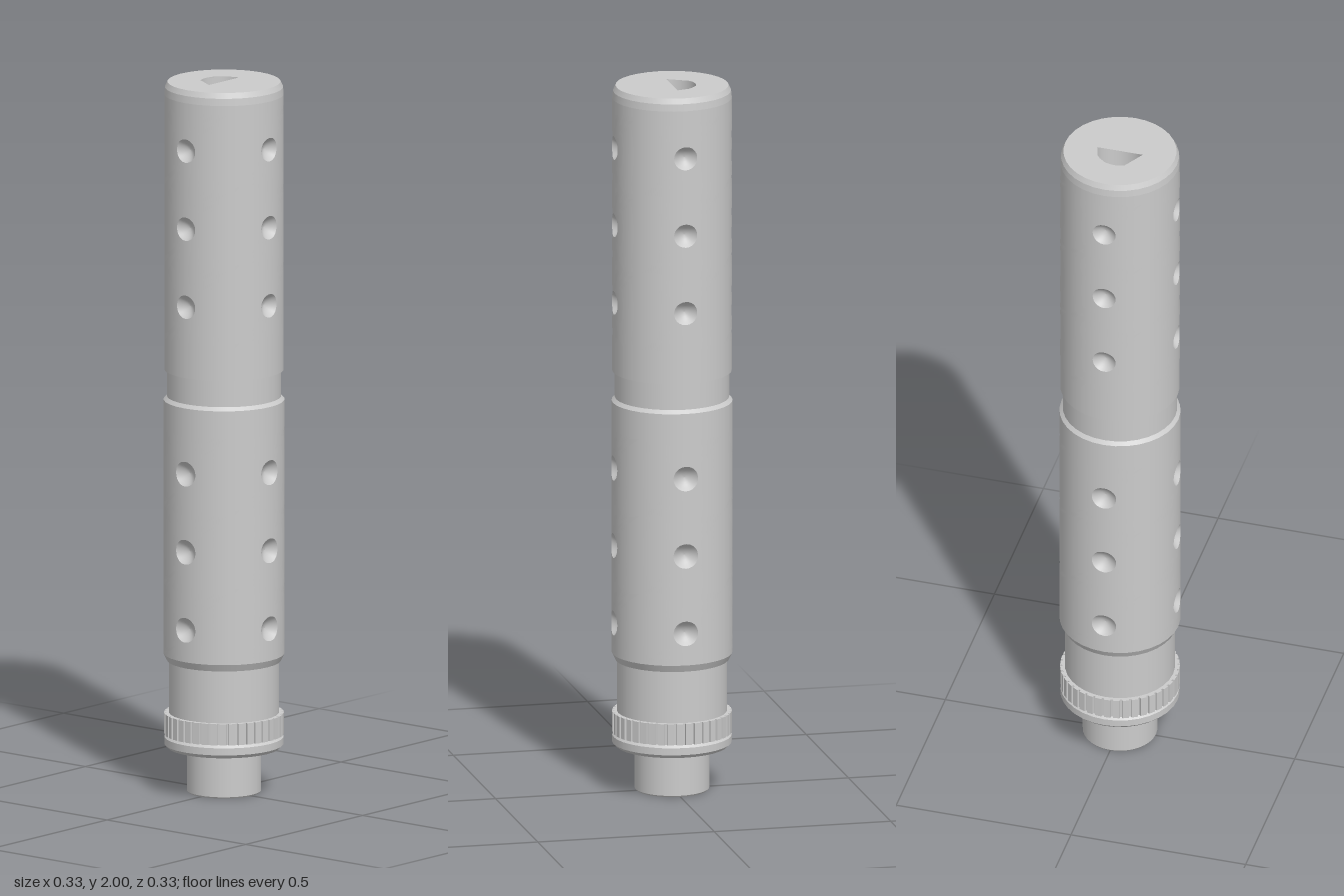
import * as THREE from 'three';
import { mergeGeometries } from 'three/addons/utils/BufferGeometryUtils.js';

const SEG = 32;
const grey = new THREE.MeshStandardMaterial({ color: 0xcccccc, side: THREE.DoubleSide });

// Turned part with a sharp edge at every profile point
function turned(points) {
  const bands = [];
  for (let i = 0; i < points.length - 1; i++) {
    const pair = [points[i], points[i + 1]].map(([r, y]) => new THREE.Vector2(r, y));
    bands.push(new THREE.LatheGeometry(pair, SEG));
  }
  return mergeGeometries(bands);
}

// Closed rings of points joined into a skin
function skin(rings) {
  const n = rings[0].length, index = [];
  for (let i = 0; i < rings.length - 1; i++) {
    for (let j = 0; j < n; j++) {
      const k = (j + 1) % n, a = i * n + j, b = i * n + k;
      index.push(a, b, b + n, a, b + n, a + n);
    }
  }
  const g = new THREE.BufferGeometry().setFromPoints(rings.flat());
  g.setIndex(index);
  g.computeVertexNormals();
  return g;
}

// A quarter of the sleeve between y0 and y1, with one round dimple in its middle
function dimpledCell(angle, y0, y1, yc, R, holeR, depth) {
  const half = Math.PI / 4, edge = [];
  const corners = [[-half, y0], [half, y0], [half, y1], [-half, y1]];
  corners.forEach(([u, y], c) => {
    const [u2, y2] = corners[(c + 1) % 4];
    for (let i = 0; i < 8; i++) edge.push([u + (u2 - u) * i / 8, y + (y2 - y) * i / 8]);
  });
  const bend = (u, y, r) =>
    new THREE.Vector3(Math.sin(angle + u) * r, y, Math.cos(angle + u) * r);
  const circle = edge.map(([u, y]) => {
    const t = Math.atan2(y - yc, u * R);
    return [Math.cos(t) * holeR / R, Math.sin(t) * holeR];
  });
  const wall = skin([0, 0.33, 0.67, 1].map(s => edge.map(([u, y], i) =>
    bend(u + (circle[i][0] - u) * s, y + (yc + circle[i][1] - y) * s, R))));
  const p = wall.attributes.position, nrm = wall.attributes.normal;
  for (let i = 0; i < p.count; i++) nrm.setXYZ(i, p.getX(i) / R, 0, p.getZ(i) / R);
  const dent = skin([1, 0.8, 0.6, 0.4, 0.2, 0.01].map(s => circle.map(([u, y]) =>
    bend(u * s, yc + y * s, R - depth * (1 - s * s)))));
  return mergeGeometries([wall, dent]);
}

function dimpledSleeve(bounds, centres, R, holeR) {
  const cells = [];
  for (let q = 0; q < 4; q++) {
    centres.forEach((yc, i) =>
      cells.push(dimpledCell(q * Math.PI / 2, bounds[i], bounds[i + 1], yc, R, holeR, 0.022)));
  }
  return mergeGeometries(cells);
}

// Ring with shallow vertical notches
function notchedRing(R, depth, inner, height, teeth) {
  const pts = [];
  for (let i = 0; i < teeth; i++) {
    [[0, R], [0.7, R], [0.74, R - depth], [0.96, R - depth]].forEach(([f, r]) => {
      const a = (i + f) / teeth * Math.PI * 2;
      pts.push(new THREE.Vector2(Math.cos(a) * r, Math.sin(a) * r));
    });
  }
  const shape = new THREE.Shape(pts);
  shape.holes.push(new THREE.Path().absarc(0, 0, inner, 0, Math.PI * 2, true));
  const g = new THREE.ExtrudeGeometry(shape, { depth: height, bevelEnabled: false, curveSegments: SEG });
  return g.rotateX(-Math.PI / 2);
}

export function createModel() {
  const model = new THREE.Group();
  const add = (name, geometry, y = 0) => {
    const mesh = new THREE.Mesh(geometry, grey);
    mesh.name = name;
    mesh.position.y = y;
    model.add(mesh);
  };

  // Dimpled sleeves
  add('lowerSleeve', dimpledSleeve([0.39, 0.59, 0.81, 1.03], [0.48, 0.7, 0.92], 0.167, 0.035));
  add('upperSleeve', dimpledSleeve([1.28, 1.5, 1.72, 1.94], [1.39, 1.61, 1.83], 0.165, 0.033));

  // Plain turned bands between and beyond them
  add('collar', turned([[0.152, 0.22], [0.152, 0.37], [0.157, 0.37], [0.167, 0.39]]));
  add('middleGroove', turned([
    [0.167, 1.03], [0.167, 1.105], [0.158, 1.115], [0.158, 1.19], [0.165, 1.19], [0.165, 1.28],
  ]));
  add('topRim', turned([
    [0.165, 1.94], [0.165, 1.965], [0.163, 1.985], [0.156, 2],
  ]));

  // Top face with its half-round opening
  const face = new THREE.Shape().absarc(0, 0, 0.156, 0, Math.PI * 2);
  face.holes.push(new THREE.Path([
    [-0.065, 0], [-0.03, 0.06], [-0.015, 0.065], [0, 0.067], [0.025, 0.062],
    [0.045, 0.047], [0.055, 0.034], [0.065, 0],
  ].map(([x, y]) => new THREE.Vector2(x, y))));
  add('topFace', new THREE.ShapeGeometry(face, SEG / 2).rotateX(-Math.PI / 2), 2);

  // Locking ring and its smooth flange
  add('notchedRing', notchedRing(0.165, 0.006, 0.14, 0.06, 40), 0.163);
  add('flange', turned([
    [0.103, 0.118], [0.11, 0.125], [0.155, 0.125], [0.165, 0.135], [0.165, 0.155], [0.158, 0.163], [0.14, 0.163],
  ]));

  // Mounting neck with countersunk mouth, and the bore running through
  add('neck', turned([
    [0.07, 0.04], [0.082, 0.03], [0.082, 0.008], [0.09, 0], [0.1, 0], [0.103, 0.004], [0.103, 0.118],
  ]));
  add('bore', turned([[0.068, 1.998], [0.068, 0.04], [0.07, 0.04]]));

  return model;
}
